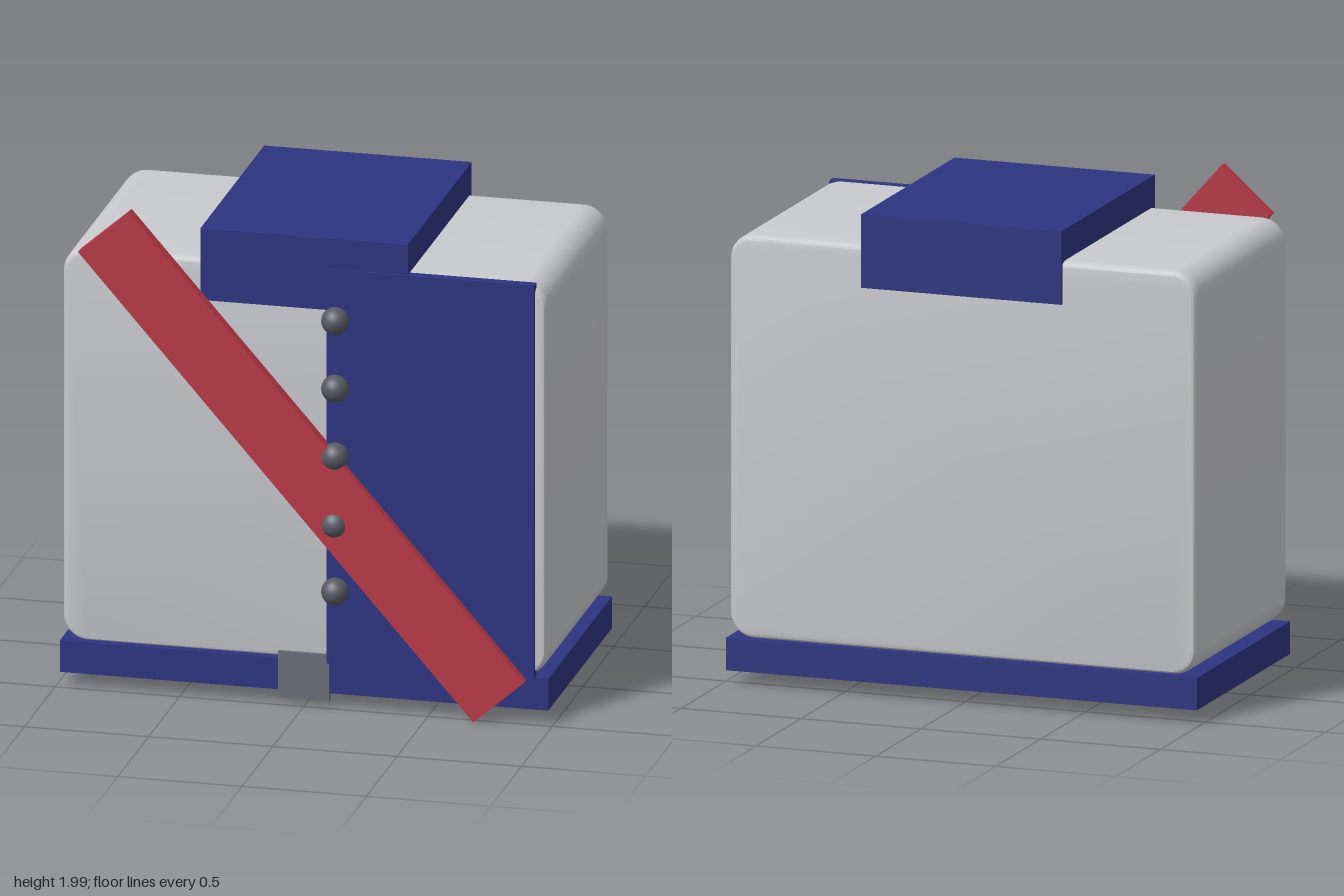
import * as THREE from 'three';
import { toCreasedNormals } from 'three/addons/utils/BufferGeometryUtils.js';

const material = (name, color) => {
  const m = new THREE.MeshStandardMaterial({ color });
  m.name = name;
  return m;
};

// Rounded rectangle outline centred on the origin
function roundedRect(w, h, r) {
  const x = w / 2, y = h / 2;
  const s = new THREE.Shape();
  s.absarc(x - r, y - r, r, 0, Math.PI / 2);
  s.absarc(-x + r, y - r, r, Math.PI / 2, Math.PI);
  s.absarc(-x + r, -y + r, r, Math.PI, Math.PI * 1.5);
  s.absarc(x - r, -y + r, r, Math.PI * 1.5, Math.PI * 2);
  s.closePath();
  return s;
}

export function createModel() {
  const shell = material('light grey', 0xc9cace);
  const navy = material('navy blue', 0x2c3580);
  const red = material('red', 0xb93a47);
  const steel = material('steel grey', 0x6b6f79);
  const dark = material('dark grey', 0x575a64);

  const model = new THREE.Group();
  model.name = 'uniformedBox';
  const add = (name, geometry, mat, x, y, z) => {
    const mesh = new THREE.Mesh(geometry, mat);
    mesh.name = name;
    mesh.position.set(x, y, z);
    model.add(mesh);
    return mesh;
  };
  // Box given by its limits on each axis
  const slab = (name, mat, [x0, x1], [y0, y1], [z0, z1]) =>
    add(name, new THREE.BoxGeometry(x1 - x0, y1 - y0, z1 - z0), mat,
      (x0 + x1) / 2, (y0 + y1) / 2, (z0 + z1) / 2);

  // Body: rounded block with softly bevelled front and back rims
  const bevel = 0.02, rim = 0.04, depth = 1.02;
  const body = new THREE.ExtrudeGeometry(roundedRect(1.95 - 2 * bevel, 1.62 - 2 * bevel, 0.08), {
    depth: depth - 2 * rim, bevelEnabled: true, bevelSize: bevel,
    bevelThickness: rim, bevelSegments: 4, curveSegments: 6,
  });
  body.translate(0, 0, -depth / 2 + rim);
  add('body', toCreasedNormals(body, 0.5), shell, -0.003, 1.005, -0.035);

  // Cloth pieces
  slab('belt', navy, [-0.985, 0.98], [0.065, 0.195], [-0.555, 0.483]);
  slab('collar', navy, [-0.42, 0.415], [1.645, 1.94], [-0.555, 0.483]);
  slab('frontPanel', navy, [0.09, 0.925], [0.19, 1.815], [0.45, 0.492]);

  // Diagonal sash
  const sash = add('sash', new THREE.BoxGeometry(2.41, 0.273, 0.045), red, -0.003, 1.003, 0.506);
  sash.rotation.z = -Math.atan2(1.81, 1.59);

  slab('buckle', steel, [-0.105, 0.1], [0.035, 0.225], [0.468, 0.489]);

  // Row of buttons along the panel edge
  const button = new THREE.SphereGeometry(0.055, 20, 14);
  for (let i = 0; i < 5; i++) add('button' + (i + 1), button, dark, 0.127, 0.493 + i * 0.279, 0.501);

  return model;
}
